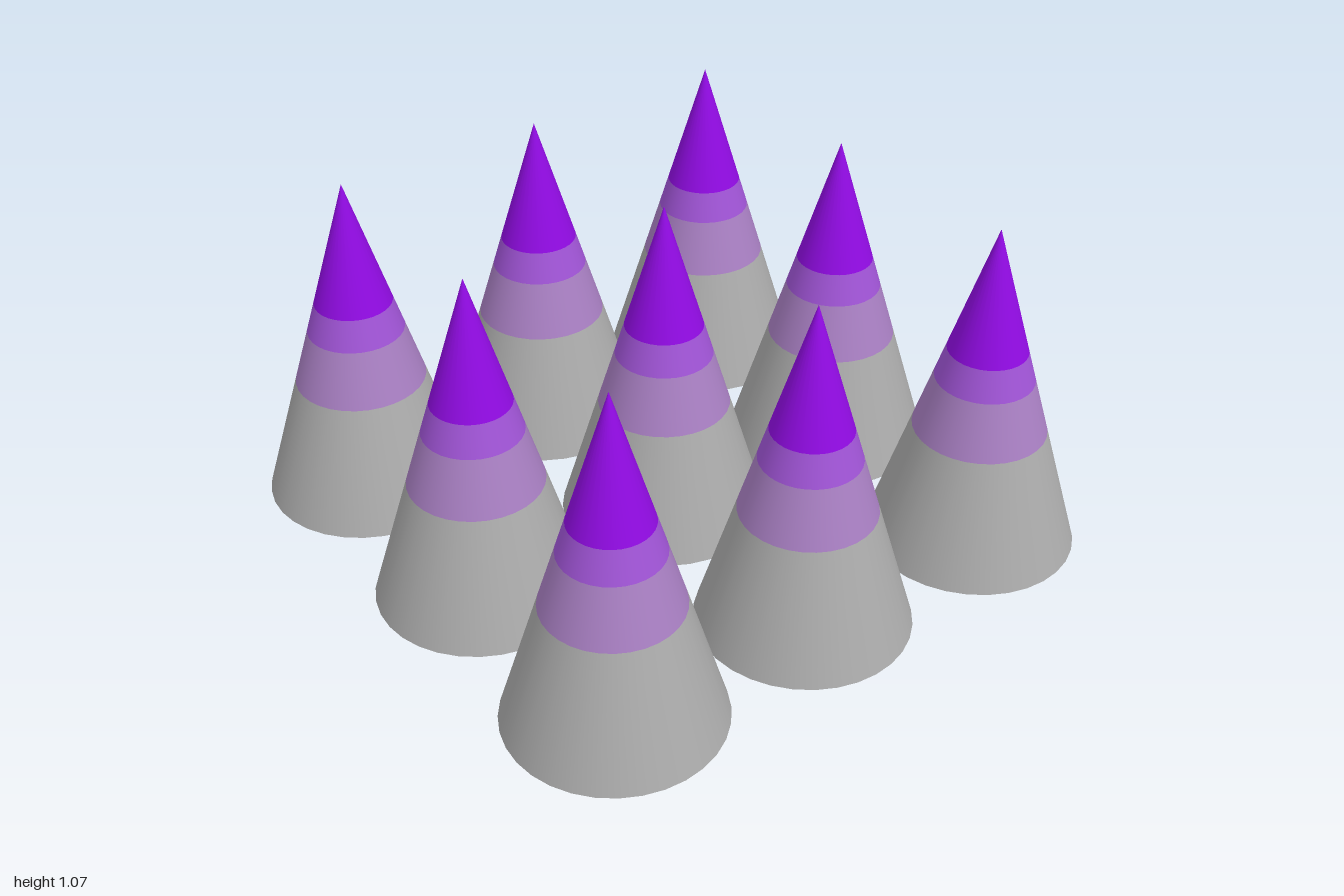
import * as THREE from 'three';

const HEIGHT = 1.065, RADIUS = 0.3225, SPACING = 0.6775, SIDES = 32;

const material = (name, color) => {
  const m = new THREE.MeshStandardMaterial({ color });
  m.name = name;
  return m;
};

// Radius of the cone at height y
const radiusAt = (y) => RADIUS * (1 - y / HEIGHT);

export function createModel() {
  const grey = material('grey', 0xaaaaaa);
  const paleViolet = material('pale violet', 0xa87fc2);
  const midViolet = material('mid violet', 0xa054d6);
  const purple = material('purple', 0x900be2);

  // Stacked colour bands of one cone, from the ground to the tip
  const bands = [
    ['lowerBody', 0, 0.395, grey],
    ['paleBand', 0.395, 0.57, paleViolet],
    ['midBand', 0.57, 0.667, midViolet],
    ['tip', 0.667, HEIGHT, purple],
  ].map(([name, y0, y1, mat]) => {
    const geometry = new THREE.CylinderGeometry(radiusAt(y1), radiusAt(y0), y1 - y0, SIDES, 1, true);
    geometry.translate(0, (y0 + y1) / 2, 0);
    return { name, geometry, mat };
  });

  // Underside disc
  const base = new THREE.CircleGeometry(RADIUS, SIDES).rotateX(Math.PI / 2);
  bands.push({ name: 'underside', geometry: base, mat: purple });

  // Three by three grid of cones
  const model = new THREE.Group();
  model.name = 'coneGrid';
  for (let row = -1; row <= 1; row++) {
    for (let column = -1; column <= 1; column++) {
      const cone = new THREE.Group();
      cone.name = 'cone';
      for (const { name, geometry, mat } of bands) {
        const mesh = new THREE.Mesh(geometry, mat);
        mesh.name = name;
        cone.add(mesh);
      }
      cone.position.set(column * SPACING, 0, row * SPACING);
      model.add(cone);
    }
  }
  return model;
}
